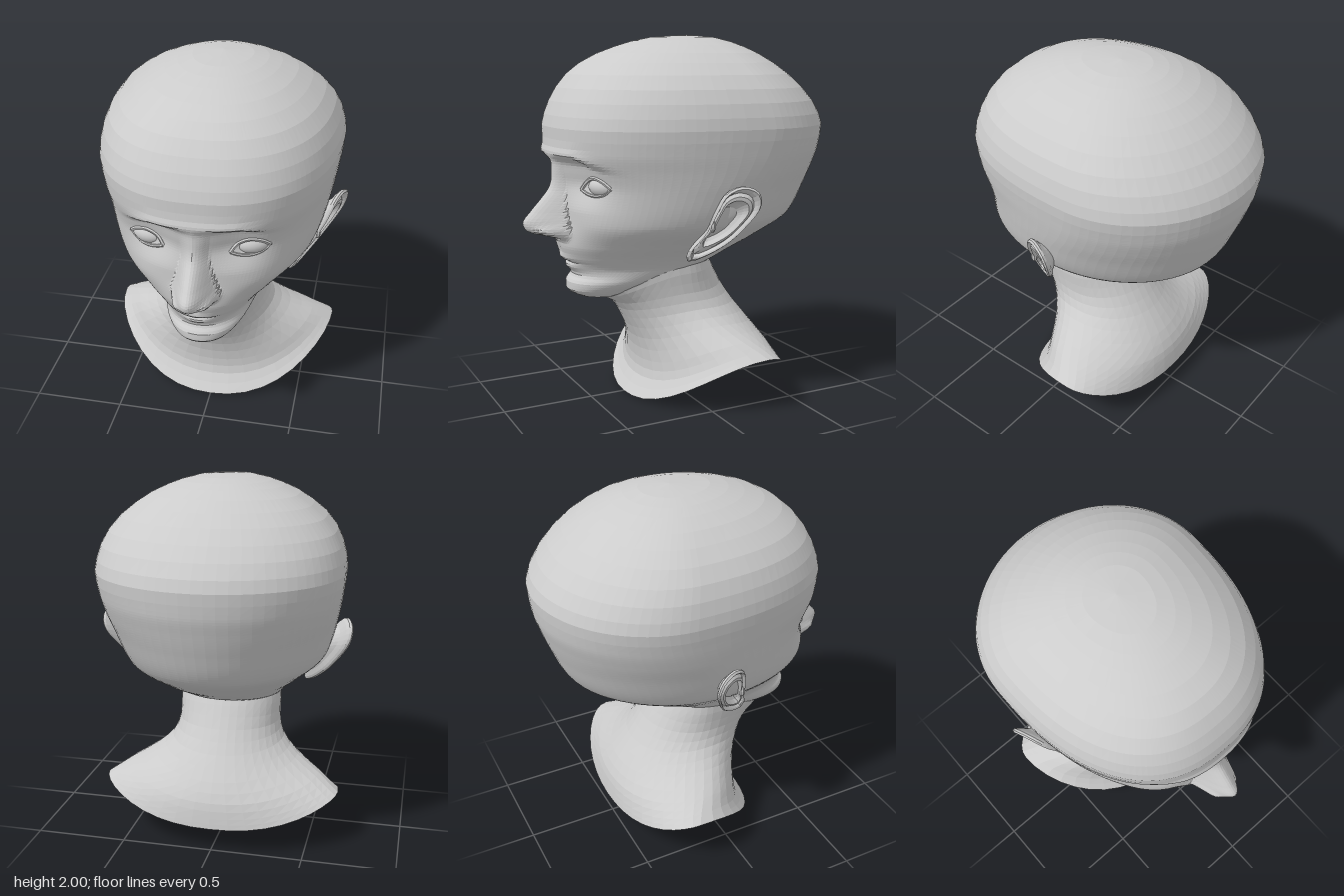
import * as THREE from 'three';

const skin = new THREE.MeshStandardMaterial({ color: 0xcccccc, flatShading: true, side: THREE.DoubleSide });
const smoothSkin = new THREE.MeshStandardMaterial({ color: 0xcccccc });

// Smooth lookup in a table of rows [y, a, b, ...] sorted by falling y
function lookup(table, y, k) {
  const n = table.length;
  if (y >= table[0][0]) return table[0][k];
  if (y <= table[n - 1][0]) return table[n - 1][k];
  let i = 0;
  while (table[i + 1][0] > y) i++;
  const slope = (p, q) => (table[q][k] - table[p][k]) / (table[q][0] - table[p][0]);
  const d = slope(i, i + 1);
  // flat at turning points, limited elsewhere, so the curve never overshoots
  const tangent = (p) => {
    if (p === 0 || p === n - 1) return d;
    const a = slope(p - 1, p), b = slope(p, p + 1);
    return a * b <= 0 ? 0 : (2 * a * b) / (a + b);
  };
  const h = table[i + 1][0] - table[i][0], t = (y - table[i][0]) / h;
  const m0 = tangent(i) * h, m1 = tangent(i + 1) * h, t2 = t * t, t3 = t2 * t;
  return (2 * t3 - 3 * t2 + 1) * table[i][k] + (t3 - 2 * t2 + t) * m0
    + (3 * t2 - 2 * t3) * table[i + 1][k] + (t3 - t2) * m1;
}

// Skin a list of closed rings of points
function loft(rings) {
  const n = rings[0].length, pos = [], index = [];
  rings.forEach((ring) => ring.forEach((p) => pos.push(...p)));
  for (let i = 0; i < rings.length - 1; i++) {
    for (let j = 0; j < n; j++) {
      const a = i * n + j, b = a + n, c = i * n + (j + 1) % n, d = c + n;
      index.push(a, b, c, c, b, d);
    }
  }
  const g = new THREE.BufferGeometry();
  g.setAttribute('position', new THREE.Float32BufferAttribute(pos, 3));
  g.setIndex(index);
  g.computeVertexNormals();
  return g;
}

// Head sections: y, front z, back z, half width, z of widest point, front squareness
const HEAD = [
  [2.0, -0.1, -0.1, 0, -0.1, 2],
  [1.985, 0.12, -0.26, 0.16, -0.1, 2],
  [1.95, 0.27, -0.38, 0.28, -0.12, 2.1],
  [1.9, 0.41, -0.49, 0.39, -0.15, 2.2],
  [1.83, 0.53, -0.6, 0.49, -0.18, 2.3],
  [1.75, 0.605, -0.7, 0.575, -0.2, 2.4],
  [1.65, 0.665, -0.795, 0.63, -0.23, 2.4],
  [1.58, 0.693, -0.842, 0.65, -0.24, 2.4],
  [1.52, 0.708, -0.863, 0.658, -0.25, 2.4],
  [1.4, 0.708, -0.853, 0.645, -0.22, 2.3],
  [1.3, 0.69, -0.825, 0.628, -0.17, 2.15],
  [1.2, 0.668, -0.79, 0.605, -0.1, 2.05],
  [1.03, 0.662, -0.71, 0.55, -0.03, 2],
  [0.9, 0.672, -0.5, 0.42, 0.0, 2],
  [0.83, 0.65, -0.35, 0.345, 0.03, 2],
  [0.765, 0.61, -0.2, 0.29, 0.07, 2],
  [0.725, 0.595, -0.05, 0.262, 0.16, 2.05],
  [0.68, 0.625, 0.18, 0.225, 0.28, 2.1],
  [0.645, 0.625, 0.27, 0.185, 0.36, 2.1],
  [0.6, 0.56, 0.36, 0.12, 0.42, 2.1],
  [0.585, 0.48, 0.4, 0.04, 0.44, 2],
];

// Nose: y, height above the face, half width
const NOSE = [
  [1.38, 0, 0.1], [1.27, 0.027, 0.075], [1.2, 0.057, 0.075], [1.14, 0.105, 0.085],
  [1.08, 0.16, 0.1], [1.02, 0.205, 0.12], [0.985, 0.19, 0.13], [0.96, 0.14, 0.13],
  [0.93, 0.03, 0.12], [0.905, 0, 0.1],
];

const bell = (v, c, s) => Math.exp(-(((v - c) / s) ** 2));
const step = THREE.MathUtils.smoothstep;

// Relief of the face: nose, nostrils, brow, sockets, cheeks and lips
function relief(x, y) {
  const ax = Math.abs(x), t = Math.min(1, ax / lookup(NOSE, y, 2));
  const nose = lookup(NOSE, y, 1) * (1 - t * t) ** 1.35;
  const wings = 0.045 * bell(ax, 0.085, 0.03) * bell(y, 0.972, 0.03);
  const nostrils = 0.03 * bell(ax, 0.045, 0.02) * bell(y, 0.945, 0.014);
  const browY = y + 0.25 * Math.max(0, ax - 0.22); // brow drops towards the temple
  const brow = 0.014 * bell(browY, 1.385, 0.03) * (1 - step(ax, 0.2, 0.4));
  const socket = 0.055 * (1 - step(browY, 1.33, 1.385)) * step(y, 1.08, 1.26) * bell(ax, 0.21, 0.14);
  const cheek = 0.018 * bell(ax, 0.32, 0.13) * bell(y, 1.02, 0.1);
  const lips = bell(x, 0, 0.09) * (0.013 * bell(y, 0.82, 0.022) + 0.016 * bell(y, 0.768, 0.02) - 0.016 * bell(y, 0.795, 0.01));
  const philtrum = 0.006 * bell(x, 0, 0.018) * bell(y, 0.87, 0.03);
  return nose + wings - nostrils + brow - socket + cheek + lips - philtrum;
}

// Depth of the face surface at x, y
function faceZ(x, y) {
  const [zf, , w, zc, n] = [1, 2, 3, 4, 5].map((k) => lookup(HEAD, y, k));
  return zc + (zf - zc) * Math.max(0, 1 - Math.abs(x / w) ** n) ** (1 / n) + relief(x, y);
}

function headGeometry() {
  const rows = [2, 1.993, 1.985, 1.965, 1.94, 1.9, 1.85, 1.79, 1.72, 1.65, 1.58, 1.52, 1.46, 1.42];
  for (let i = 0; i <= 58; i++) rows.push(1.397 - i * 0.014);
  const COLS = 112;
  return loft(rows.map((y) => {
    const [zf, zb, w, zc, n] = [1, 2, 3, 4, 5].map((k) => lookup(HEAD, y, k));
    return Array.from({ length: COLS }, (_, j) => {
      const a = (j / COLS) * Math.PI * 2, th = a - 0.62 * Math.sin(a); // finer columns on the face
      const s = Math.sin(th), c = Math.cos(th), e = c > 0 ? 2 / n : 1;
      const x = w * Math.sign(s) * Math.abs(s) ** e;
      const z = c > 0 ? zc + (zf - zc) * c ** e + relief(x, y) * step(c, 0, 0.3) : zc + (zc - zb) * c;
      return [x, y, z];
    });
  }));
}

// Neck sections: front z, front y, side x, side z, side y, back z, back y
const NECK = [
  [0.5, 0.63, 0.28, 0.03, 0.82, -0.17, 0.82],
  [0.43, 0.578, 0.288, 0.02, 0.72, -0.215, 0.74],
  [0.36, 0.54, 0.288, 0.0, 0.61, -0.28, 0.62],
  [0.3, 0.45, 0.32, -0.05, 0.52, -0.36, 0.5],
  [0.245, 0.33, 0.41, -0.1, 0.44, -0.45, 0.38],
  [0.22, 0.2, 0.54, -0.17, 0.37, -0.505, 0.28],
  [0.23, 0.1, 0.61, -0.22, 0.33, -0.522, 0.2],
  [0.3, 0.0, 0.66, -0.25, 0.3, -0.53, 0.14],
];

function neckGeometry() {
  const curve = (k, l, m) => new THREE.CatmullRomCurve3(NECK.map((r) => new THREE.Vector3(r[k], r[l], r[m])));
  const front = curve(0, 1, 1), flank = curve(2, 4, 3), back = curve(5, 6, 6);
  return loft(Array.from({ length: 15 }, (_, i) => {
    const f = front.getPoint(i / 14), m = flank.getPoint(i / 14), b = back.getPoint(i / 14);
    return Array.from({ length: 40 }, (_, j) => {
      const th = (j / 40) * Math.PI * 2, s = Math.sin(th), c = Math.cos(th), end = c > 0 ? f : b;
      const y = THREE.MathUtils.lerp(end.y, m.y, Math.abs(s) ** 2.5);
      return [m.x * s, y, m.z + Math.abs(c) * (end.x - m.z)];
    });
  }));
}

// Ear: outline in z, y; rings of [scale, offset] make the bowl, the rim and the back
const earX = (z, y) => 0.572 + 0.5 * (y - 1.03) - 0.9 * Math.max(0, y - 1.03) ** 2 - 0.4 * z;

function earGeometry() {
  const outline = new THREE.CatmullRomCurve3([
    [-0.07, 1.24], [0.0, 1.205], [0.035, 1.12], [0.07, 0.98], [0.12, 0.875], [0.11, 0.825],
    [0.04, 0.85], [-0.06, 0.93], [-0.12, 1.02], [-0.17, 1.14], [-0.145, 1.215],
  ].map(([z, y]) => new THREE.Vector3(0, y, z)), true).getSpacedPoints(36).slice(0, 36);
  const profile = [[0.01, -0.04], [0.4, -0.045], [0.52, -0.025], [0.62, 0.004], [0.72, 0.002], [0.82, -0.014],
    [0.88, 0.004], [0.94, 0.012], [1, 0.002], [1, -0.012], [0.93, -0.025], [0.75, -0.045], [0.5, -0.1]];
  return loft(profile.map(([r, h]) => outline.map((p) => {
    const y = 1.05 + (p.y - 1.05) * r, z = -0.025 + (p.z + 0.025) * r;
    return [earX(z, y) + h, y, z];
  })));
}

function add(parent, name, geometry, material = skin) {
  const mesh = new THREE.Mesh(geometry, material);
  mesh.name = name;
  parent.add(mesh);
  return mesh;
}

// Thin fold of skin laid over the face through x, y points
function fold(points, radius) {
  const path = new THREE.CatmullRomCurve3(points.map(([x, y]) => new THREE.Vector3(x, y, faceZ(x, y))));
  return new THREE.TubeGeometry(path, 16, radius, 6);
}

function side(name) {
  const g = new THREE.Group();
  g.name = name;
  add(g, 'ear', earGeometry());
  const tragus = add(g, 'tragus', new THREE.SphereGeometry(1, 8, 6));
  tragus.scale.set(0.018, 0.035, 0.018);
  tragus.position.set(earX(0.04, 1.03), 1.03, 0.04);

  const eye = add(g, 'eyeball', new THREE.SphereGeometry(1, 24, 16), smoothSkin);
  eye.scale.set(0.098, 0.06, 0.075);
  eye.position.set(0.262, 1.226, faceZ(0.262, 1.226) - 0.053);
  eye.rotation.y = 0.35;
  add(g, 'upperLid', fold([[0.17, 1.205], [0.205, 1.25], [0.26, 1.272], [0.32, 1.258], [0.36, 1.225]], 0.01));
  add(g, 'lowerLid', fold([[0.17, 1.205], [0.21, 1.188], [0.265, 1.18], [0.32, 1.192], [0.36, 1.225]], 0.008));
  return g;
}

export function createModel() {
  const model = new THREE.Group();
  model.name = 'headBust';
  add(model, 'head', headGeometry());
  add(model, 'neck', neckGeometry());
  const left = side('leftFeatures'), right = side('rightFeatures');
  right.scale.x = -1;
  model.add(left, right);
  return model;
}
